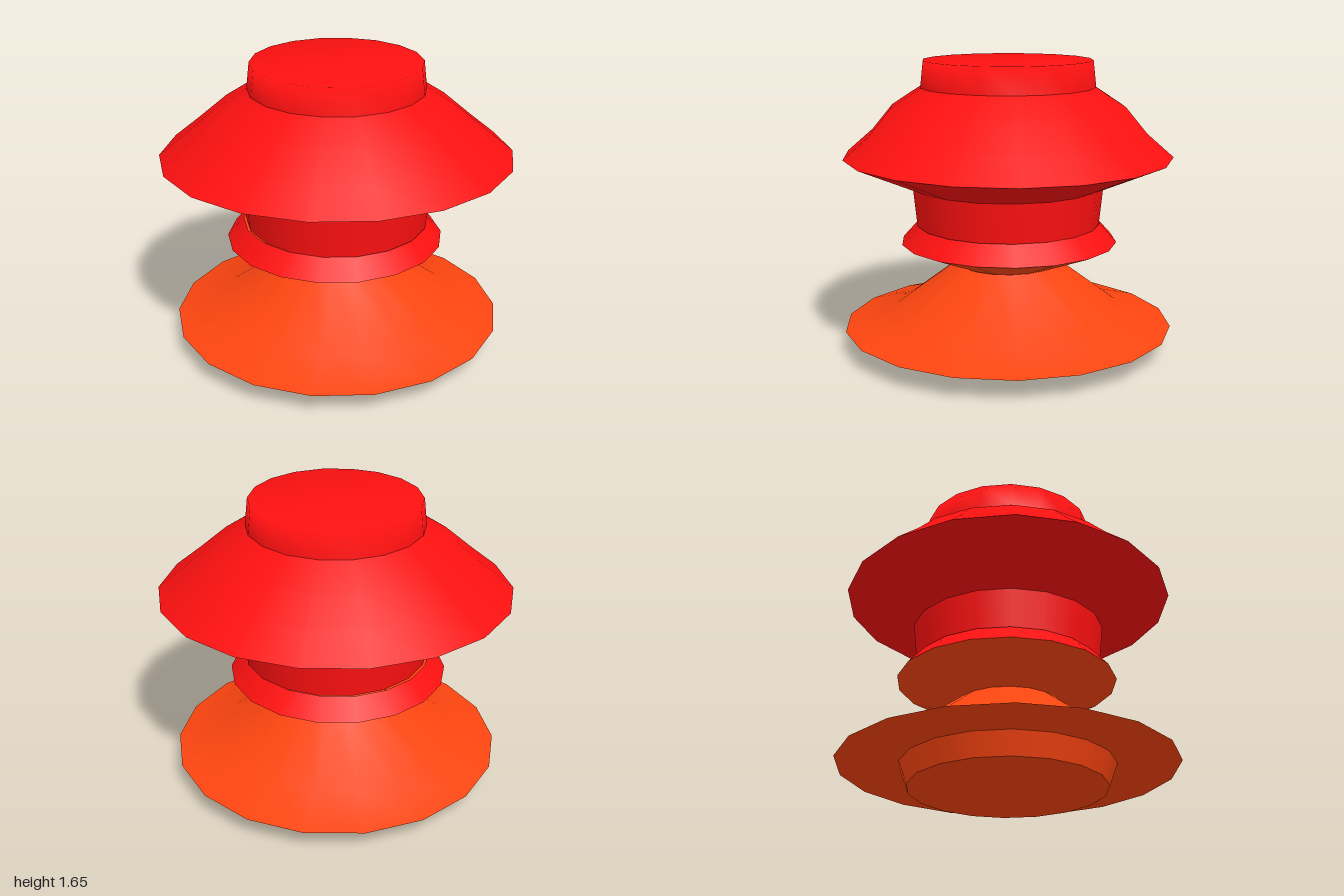
import * as THREE from 'three';

const SIDES = 18;
const red = new THREE.MeshStandardMaterial({ color: 0xff1010, side: THREE.DoubleSide });
const orange = new THREE.MeshStandardMaterial({ color: 0xff4510, side: THREE.DoubleSide });

// One smooth band of the turned body; profile is [radius, height] going upwards.
function band(name, material, profile) {
  const points = profile.map(([r, y]) => new THREE.Vector2(r, y));
  const mesh = new THREE.Mesh(new THREE.LatheGeometry(points, SIDES, Math.PI / 2), material);
  mesh.name = name;
  return mesh;
}

// Narrow a band front to back near its widest rings.
function flatten(mesh, minRadius, amount) {
  const pos = mesh.geometry.attributes.position;
  for (let i = 0; i < pos.count; i++) {
    if (Math.hypot(pos.getX(i), pos.getZ(i)) > minRadius) pos.setZ(i, pos.getZ(i) * (1 - amount));
  }
  return mesh;
}

export function createModel() {
  const model = new THREE.Group();
  model.name = 'tieredBody';

  // Foot and flared lower skirt
  model.add(
    band('footBottom', orange, [[0, 0], [0.555, 0]]),
    band('footWall', orange, [[0.555, 0], [0.6, 0.125]]),
    band('skirtUnderside', orange, [[0.6, 0.125], [0.948, 0.125]]),
    band('skirt', orange, [[0.948, 0.125], [0.66, 0.21], [0.295, 0.487]]),
  );

  // Collar, slightly off centre
  const collar = new THREE.Group();
  collar.name = 'collar';
  collar.add(
    band('collarUnderside', orange, [[0.285, 0.48], [0.622, 0.615]]),
    band('collarTop', red, [[0.622, 0.615], [0.525, 0.722]]),
  );
  collar.position.set(-0.012, 0, -0.007);
  model.add(collar);

  // Neck and wide upper brim
  model.add(
    band('neck', red, [[0.525, 0.722], [0.548, 0.945]]),
    flatten(band('brimUnderside', red, [[0.548, 0.945], [1, 1.12]]), 0.8, 0.066),
    flatten(band('brimTop', red, [[1, 1.12], [0.84, 1.25], [0.665, 1.395], [0.497, 1.505]]), 0.8, 0.066),
  );

  // Crown, its wall shaded smoothly into the flat top
  model.add(band('crown', red, [[0.497, 1.505], [0.48, 1.655], [0, 1.655]]));

  return model;
}
